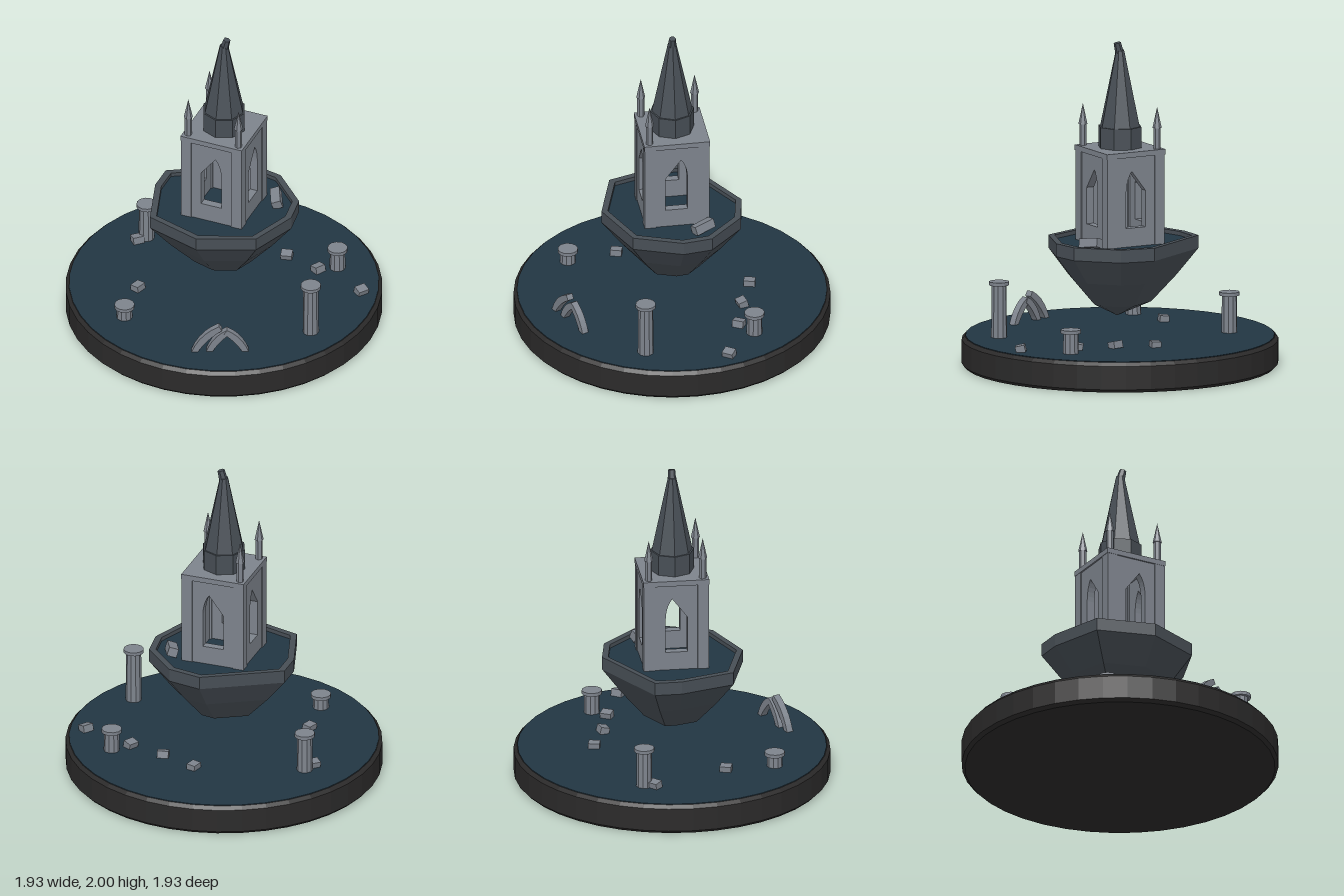
import * as THREE from 'three';

const mat = (name, color) => {
  const m = new THREE.MeshStandardMaterial({ color });
  m.name = name;
  return m;
};

// Facet a geometry so every face is flat
const facet = (g) => {
  const f = g.index ? g.toNonIndexed() : g;
  f.computeVertexNormals();
  return f;
};

// Skin a list of closed rings, each an array of [x, y, z], from bottom to top
function skin(rings) {
  const n = rings[0].length, index = [];
  for (let r = 0; r < rings.length - 1; r++) {
    for (let i = 0; i < n; i++) {
      const j = (i + 1) % n, a = r * n, b = a + n;
      index.push(a + i, a + j, b + i, a + j, b + j, b + i);
    }
  }
  const g = new THREE.BufferGeometry();
  g.setAttribute('position', new THREE.Float32BufferAttribute(rings.flat(2), 3));
  g.setIndex(index);
  return facet(g);
}

export function createModel() {
  const model = new THREE.Group();
  const stone = mat('grey stone', 0x7d838c);
  const slate = mat('dark slate', 0x474e55);
  const water = mat('deep water', 0x223643);
  const plinth = mat('black plinth', 0x2b2a2a);

  const add = (name, geo, material, x = 0, y = 0, z = 0, parent = model) => {
    const m = new THREE.Mesh(geo, material);
    m.name = name;
    m.position.set(x, y, z);
    parent.add(m);
    return m;
  };
  const cyl = (top, bottom, h, sides) => facet(new THREE.CylinderGeometry(top, bottom, h, sides));
  const box = (w, h, d) => new THREE.BoxGeometry(w, h, d);

  // Round plinth with bevelled edges and a sheet of water
  const profile = [[0, 0], [0.945, 0], [0.965, 0.02], [0.965, 0.165], [0.945, 0.186], [0, 0.186]]
    .map(([x, y]) => new THREE.Vector2(x, y));
  add('plinth', facet(new THREE.LatheGeometry(profile, 40)), plinth);
  add('lowerWater', cyl(0.942, 0.942, 0.006, 40), water, 0, 0.187, 0);

  // Floating island: irregular outline tapering to a point, hollow rim on top
  const outline = [[0, 0.435], [0.335, 0.295], [0.445, 0], [0.42, -0.18], [0.21, -0.39],
    [0, -0.43], [-0.25, -0.285], [-0.455, -0.165], [-0.455, 0], [-0.35, 0.33]];
  const ring = (s, y, dx = 0) => outline.map(([x, z]) => [x * s + dx, y, z * s]);
  add('islandRock', skin([
    ring(0, 0.31, 0.02), ring(0.4, 0.39), ring(0.72, 0.55), ring(1, 0.71),
    ring(1, 0.79), ring(0.91, 0.79), ring(0.91, 0.75),
  ]), slate);
  add('islandWater', skin([ring(0.92, 0.765), ring(0, 0.765)]), water);

  // Bell tower: corner piers, four walls with broken pointed windows, cornice
  const tower = new THREE.Group();
  tower.name = 'tower';
  model.add(tower);
  for (const x of [-0.166, 0.166]) {
    for (const z of [-0.166, 0.166]) add('cornerPier', box(0.068, 0.565, 0.068), stone, x, 1.0425, z, tower);
  }
  const wall = new THREE.Shape([[-0.134, 0.76], [0.134, 0.76], [0.134, 1.32], [-0.134, 1.32]]
    .map(([x, y]) => new THREE.Vector2(x, y)));
  const opening = new THREE.Path();
  opening.moveTo(-0.07, 0.88);
  opening.lineTo(-0.07, 1.105);
  opening.lineTo(0.025, 1.23);
  opening.quadraticCurveTo(0.063, 1.18, 0.065, 1.1);
  opening.lineTo(0.065, 0.88);
  opening.closePath();
  wall.holes.push(opening);
  const wallGeo = facet(new THREE.ExtrudeGeometry(wall, { depth: 0.05, bevelEnabled: false, curveSegments: 5 }));
  for (const turn of [0, Math.PI / 2]) {
    const pair = new THREE.Group();
    pair.name = 'windowWalls';
    pair.rotation.y = turn;
    tower.add(pair);
    for (const z of [0.143, -0.193]) add('windowWall', wallGeo, stone, 0, 0, z, pair);
  }
  add('cornice', box(0.405, 0.033, 0.405), stone, 0, 1.334, 0, tower);

  // Octagonal spire with a leaning broken tip
  add('spireDrum', cyl(0.135, 0.135, 0.13, 8), slate, 0, 1.415, 0);
  add('spire', cyl(0.026, 0.125, 0.47, 8), slate, 0, 1.715, 0);
  const tip = add('spireTip', cyl(0.022, 0.026, 0.06, 6), slate, 0.012, 1.967, 0);
  tip.rotation.z = -0.25;

  // Three surviving corner pinnacles
  for (const [x, z] of [[-0.166, -0.166], [-0.166, 0.166], [0.166, 0.166]]) {
    add('pinnacleShaft', cyl(0.022, 0.022, 0.13, 6), stone, x, 1.415, z);
    add('pinnacleCone', facet(new THREE.ConeGeometry(0.028, 0.13, 6)), stone, x, 1.545, z);
  }

  // Ruined columns with flat capitals
  for (const [x, z, top] of [[-0.62, -0.255, 0.44], [-0.415, 0.575, 0.283],
    [0.575, -0.415, 0.336], [0.69, 0.275, 0.535]]) {
    add('columnShaft', cyl(0.046, 0.049, top - 0.2, 10), stone, x, (top + 0.17) / 2, z);
    add('columnCapital', cyl(0.062, 0.062, 0.022, 12), stone, x, top - 0.011, z);
  }

  // Scattered rubble: x, y, z, turn, tilt
  for (const [x, y, z, turn, tilt] of [
    [0.02, 0.203, -0.475, -0.25, 0.05], [0.25, 0.208, -0.39, 1.8, 0.25], [0.48, 0.208, -0.335, -0.5, 0.2],
    [0.815, 0.208, -0.22, -0.6, -0.25], [-0.655, 0.208, -0.195, -0.8, 0.15], [-0.455, 0.205, 0.27, -0.3, 0.08],
  ]) add('rubble', box(0.058, 0.045, 0.07), stone, x, y, z).rotation.set(0, turn, tilt);
  add('islandRubble', box(0.06, 0.055, 0.135), stone, 0.285, 0.8, -0.145).rotation.set(0.15, 0.45, 0.25);

  // Fallen window tracery: curved ribs leaning together
  const tracery = new THREE.Group();
  tracery.name = 'fallenArch';
  tracery.position.set(0.255, 0, 0.67);
  tracery.rotation.y = 0.4;
  model.add(tracery);
  const rib = (foot, top, height, side, z) => {
    const t = 0.034 * side, s = new THREE.Shape();
    s.moveTo(foot, 0.18);
    s.quadraticCurveTo(foot + (top - foot) * 0.3, 0.18 + (height - 0.18) * 0.72, top, height);
    s.lineTo(top + t * 0.55, height - 0.03);
    s.quadraticCurveTo(foot + (top - foot) * 0.36 + t, 0.15 + (height - 0.18) * 0.68, foot + t * 1.1, 0.18);
    const g = new THREE.ExtrudeGeometry(s, { depth: 0.042, bevelEnabled: false, curveSegments: 5 });
    add('archRib', facet(g), stone, 0, 0, z, tracery);
  };
  rib(-0.175, -0.005, 0.375, 1, -0.018);
  rib(0.18, 0.045, 0.345, -1, -0.021);
  rib(-0.085, 0.045, 0.345, 1, -0.024);

  return model;
}
